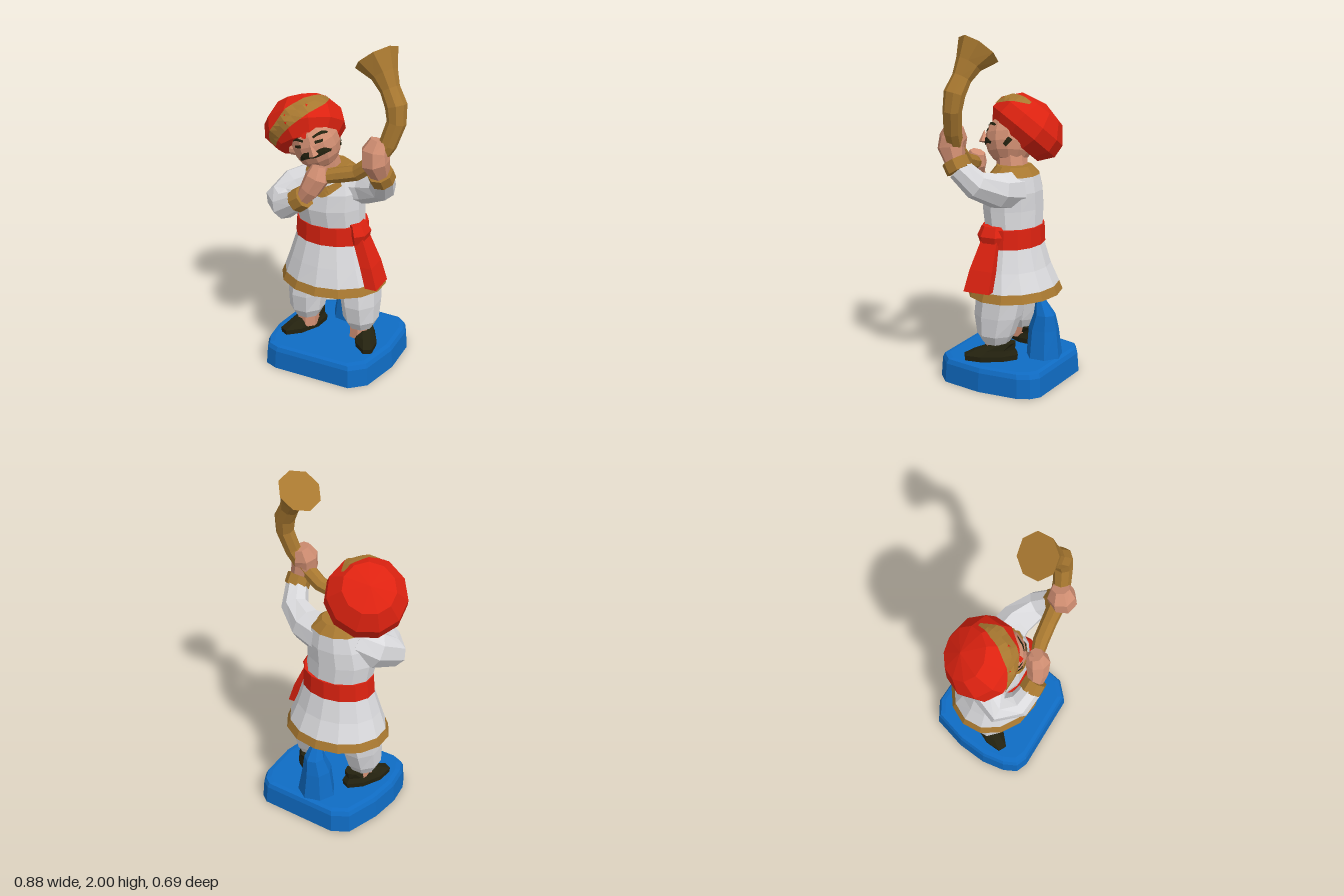
import * as THREE from 'three';

const V = (x, y, z) => new THREE.Vector3(x, y, z);
const UP = V(0, 1, 0);

export function createModel() {
  const root = new THREE.Group();
  root.name = 'hornPlayer';

  const paintOf = (name, color) => {
    const m = new THREE.MeshStandardMaterial({ color });
    m.name = name;
    return m;
  };
  const white = paintOf('white cloth', 0xd9d9dc);
  const red = paintOf('red cloth', 0xdd2210);
  const gold = paintOf('gold', 0xa87830);
  const goldHem = gold.clone();
  goldHem.side = THREE.DoubleSide;
  const skinTone = paintOf('skin', 0xd08e72);
  const black = paintOf('black', 0x24220f);
  const blue = paintOf('blue', 0x0f6cc4);

  const add = (name, geo, mat, parent = root) => {
    const flat = geo.index ? geo.toNonIndexed() : geo;
    flat.computeVertexNormals();
    const mesh = new THREE.Mesh(flat, mat);
    mesh.name = name;
    parent.add(mesh);
    return mesh;
  };

  // Joins rings of points into a faceted body, with end caps
  const skin = (rings, caps = true) => {
    const n = rings[0].length, pos = [], idx = [];
    rings.forEach(r => r.forEach(p => pos.push(p.x, p.y, p.z)));
    for (let j = 0; j < rings.length - 1; j++) {
      for (let i = 0; i < n; i++) {
        const a = j * n + i, b = j * n + (i + 1) % n;
        idx.push(a, a + n, b, b, a + n, b + n);
      }
    }
    if (caps) [0, rings.length - 1].forEach(j => {
      const c = V(0, 0, 0);
      rings[j].forEach(p => c.addScaledVector(p, 1 / n));
      const k = pos.length / 3;
      pos.push(c.x, c.y, c.z);
      for (let i = 0; i < n; i++) {
        const a = j * n + i, b = j * n + (i + 1) % n;
        if (j === 0) idx.push(k, a, b); else idx.push(k, b, a);
      }
    });
    const g = new THREE.BufferGeometry();
    g.setAttribute('position', new THREE.Float32BufferAttribute(pos, 3));
    g.setIndex(idx);
    return g;
  };
  const ellipse = (n, rx, rz) => Array.from({ length: n }, (_, i) => {
    const a = (i + 0.5) / n * Math.PI * 2;
    return V(Math.cos(a) * rx, 0, Math.sin(a) * rz);
  });
  // Upright body from [x, y, z, radius x, radius z] sections, bottom first
  const loft = (sections, n = 10, caps = true) => skin(sections.map(
    ([x, y, z, rx, rz]) => ellipse(n, rx, rz).map(p => p.add(V(x, y, z)))), caps);
  // Bent body from [x, y, z, radius] points along a path
  const limb = (pts, n = 8) => {
    const c = pts.map(p => V(p[0], p[1], p[2]));
    const q = new THREE.Quaternion();
    let last = UP;
    return skin(c.map((p, i) => {
      const t = c[Math.min(i + 1, c.length - 1)].clone().sub(c[Math.max(i - 1, 0)]).normalize();
      q.premultiply(new THREE.Quaternion().setFromUnitVectors(last, t));
      last = t;
      return ellipse(n, pts[i][3], pts[i][3]).map(v => v.applyQuaternion(q).add(p));
    }));
  };
  // Thin painted strip laid on a mesh along a path
  const ray = new THREE.Raycaster();
  const strip = (name, mat, target, pts, widths, aim = () => V(0, 0, -1)) => {
    root.updateMatrixWorld(true);
    const curve = new THREE.CatmullRomCurve3(pts), steps = 16, pos = [], idx = [];
    let rows = 0;
    for (let i = 0; i <= steps; i++) {
      const t = i / steps, p = curve.getPoint(t), f = t * (widths.length - 1);
      const k = Math.min(Math.floor(f), widths.length - 2);
      const w = THREE.MathUtils.lerp(widths[k], widths[k + 1], f - k);
      const side = curve.getTangent(t).cross(aim(p)).normalize();
      const row = [];
      for (const s of [-1, 0, 1]) {
        const o = p.clone().addScaledVector(side, s * w), d = aim(o).normalize();
        ray.set(o, d);
        const hit = ray.intersectObject(target, false)[0];
        if (hit) row.push(hit.point.clone().addScaledVector(d, -0.007));
      }
      if (row.length < 3) continue;
      row.forEach(v => pos.push(v.x, v.y, v.z));
      if (rows++) {
        const b = (rows - 1) * 3, a = b - 3;
        for (const j of [0, 1]) idx.push(a + j, b + j, a + j + 1, a + j + 1, b + j, b + j + 1);
      }
    }
    const g = new THREE.BufferGeometry();
    g.setAttribute('position', new THREE.Float32BufferAttribute(pos, 3));
    g.setIndex(idx);
    return add(name, g, mat);
  };
  const face2D = list => list.map(([x, y]) => V(x, y, 1));

  // Plinth with a bevelled rim, and the rock behind the legs
  const outline = [[0.345, 0.03], [0.29, 0.27], [0.2, 0.345], [-0.28, 0.33], [-0.35, 0.3], [-0.385, 0.22],
    [-0.4, 0.08], [-0.375, -0.1], [-0.305, -0.3], [-0.21, -0.35], [0.26, -0.32], [0.31, -0.28], [0.34, -0.21]];
  add('plinth', skin([[0, 1], [0.11, 0.98], [0.135, 0.95], [0.14, 0.88]].map(
    ([y, s]) => outline.map(([x, z]) => V((x + 0.03) * s - 0.03, y, z * s)))), blue);
  add('rock', loft([[-0.03, 0.13, -0.21, 0.115, 0.105], [-0.03, 0.3, -0.205, 0.085, 0.09],
    [-0.02, 0.39, -0.215, 0.06, 0.065], [-0.02, 0.47, -0.19, 0.03, 0.03]], 7), blue);

  // Shoes, ankles and baggy trousers
  for (const s of [-1, 1]) {
    const side = s > 0 ? 'left' : 'right';
    const shoe = add(side + 'Shoe', loft([[0, 0.135, 0, 0.065, 0.16], [0, 0.17, 0, 0.068, 0.165],
      [0, 0.2, -0.02, 0.055, 0.125], [0, 0.24, -0.085, 0.05, 0.06]], 8), black);
    shoe.position.set(-0.03 + s * 0.2, 0, 0.035);
    shoe.rotation.y = s * 0.5;
    const x = -0.04 + s * 0.17;
    add(side + 'Ankle', loft([[x, 0.17, 0.02, 0.065, 0.075], [x, 0.27, 0.02, 0.065, 0.065]], 7), skinTone);
    add(side + 'Trouser', loft([[x + s * 0.005, 0.235, 0.02, 0.075, 0.075], [x + s * 0.005, 0.29, 0.02, 0.105, 0.11],
      [x, 0.4, 0.01, 0.115, 0.14], [x - s * 0.02, 0.56, -0.01, 0.13, 0.15]], 8), white);
  }

  // Tunic: gold hem, skirt, waistband, chest and collar
  add('hem', loft([[-0.055, 0.5, -0.01, 0.318, 0.265], [-0.055, 0.55, -0.01, 0.298, 0.245]], 14, false), goldHem);
  add('skirt', loft([[-0.055, 0.55, -0.01, 0.298, 0.245], [-0.055, 0.66, 0, 0.257, 0.205],
    [-0.055, 0.81, 0, 0.21, 0.16]], 14), white);
  add('waistband', loft([[-0.055, 0.79, 0, 0.222, 0.172], [-0.055, 0.9, 0, 0.214, 0.168]], 14), red);
  const chest = add('chest', loft([[-0.06, 0.88, 0, 0.2, 0.16], [-0.07, 1.0, 0.01, 0.21, 0.17],
    [-0.06, 1.1, 0.005, 0.2, 0.165], [-0.055, 1.19, -0.005, 0.165, 0.14]], 12), white);
  add('collar', loft([[-0.055, 1.19, -0.005, 0.165, 0.14], [-0.06, 1.24, 0, 0.105, 0.1]], 12), gold);
  add('neck', loft([[-0.08, 1.2, 0.02, 0.09, 0.09], [-0.1, 1.3, 0.04, 0.09, 0.09]], 8), skinTone);
  strip('collarPoint', gold, chest, face2D([[-0.17, 1.17], [-0.05, 1.12], [0.05, 1.17]]), [0.015, 0.03, 0.015]);

  // Sash knot and hanging tail
  add('sashKnot', loft([[0.135, 0.8, 0.045, 0.045, 0.07], [0.14, 0.86, 0.045, 0.055, 0.09],
    [0.12, 0.915, 0.045, 0.045, 0.07]], 6), red);
  add('sashTail', loft([[0.25, 0.56, 0.07, 0.05, 0.112], [0.21, 0.68, 0.06, 0.05, 0.1],
    [0.14, 0.84, 0.045, 0.045, 0.07]], 4), red);

  // Right arm, bent up to the mouth
  add('rightSleeve', limb([[-0.16, 1.12, 0, 0.1], [-0.26, 1.07, 0.05, 0.11], [-0.31, 1.015, 0.15, 0.092],
    [-0.24, 1.03, 0.24, 0.076], [-0.15, 1.09, 0.265, 0.062]]), white);
  add('rightCuff', limb([[-0.155, 1.085, 0.262, 0.068], [-0.1, 1.125, 0.268, 0.066]]), gold);
  add('rightHand', limb([[-0.11, 1.115, 0.267, 0.045], [-0.07, 1.17, 0.26, 0.06], [-0.035, 1.24, 0.24, 0.07],
    [-0.03, 1.3, 0.22, 0.045]], 7), skinTone);

  // Left arm, raised to hold the horn
  add('leftSleeve', limb([[0.03, 1.11, -0.02, 0.115], [0.16, 1.13, 0, 0.1], [0.28, 1.18, 0.07, 0.08],
    [0.315, 1.27, 0.155, 0.066]]), white);
  add('leftCuff', limb([[0.317, 1.26, 0.15, 0.073], [0.312, 1.315, 0.183, 0.073]]), gold);
  add('leftHand', limb([[0.312, 1.3, 0.18, 0.055], [0.295, 1.38, 0.21, 0.08], [0.29, 1.44, 0.2, 0.078],
    [0.305, 1.5, 0.185, 0.05]], 7), skinTone);

  // Curved horn
  add('horn', limb([[-0.01, 1.24, 0.22, 0.035], [0.07, 1.26, 0.2, 0.045], [0.18, 1.29, 0.19, 0.045],
    [0.28, 1.37, 0.19, 0.05], [0.35, 1.48, 0.17, 0.05], [0.388, 1.6, 0.15, 0.053], [0.38, 1.69, 0.14, 0.06],
    [0.335, 1.77, 0.12, 0.055], [0.295, 1.84, 0.1, 0.075], [0.235, 1.915, 0.07, 0.127]]), gold);

  // Head, turned and tilted
  const head = add('head', new THREE.SphereGeometry(1, 12, 9), skinTone);
  head.scale.set(0.137, 0.155, 0.145);
  head.position.set(-0.13, 1.37, 0.06);
  head.rotation.set(0, 0.35, 0.35, 'YXZ');
  const nose = add('nose', new THREE.ConeGeometry(0.03, 0.07, 5), skinTone);
  nose.position.set(-0.083, 1.385, 0.205);
  nose.rotation.set(0, 0.35, 0.35, 'YXZ');
  const ear = add('ear', new THREE.SphereGeometry(0.035, 6, 5), skinTone);
  ear.position.set(-0.245, 1.32, 0.1);

  // Turban, leaning back and to the right, with a gold band
  const turban = add('turban', new THREE.LatheGeometry([[0, -0.11], [0.17, -0.11], [0.232, -0.03], [0.225, 0.05],
    [0.15, 0.14], [0, 0.175]].map(p => new THREE.Vector2(...p)), 11), red);
  const mid = V(-0.225, 1.425, 0);
  turban.position.copy(mid);
  turban.quaternion.setFromUnitVectors(UP, V(-0.4, 0.75, -0.5).normalize());
  strip('turbanBand', gold, turban, [[-0.37, 1.34, 0.17], [-0.29, 1.46, 0.2], [-0.2, 1.55, 0.13],
    [-0.13, 1.6, 0.03], [-0.11, 1.6, -0.08]].map(p => V(...p).sub(mid).multiplyScalar(2.5).add(mid)),
  [0.07, 0.08, 0.11, 0.11, 0.03], p => mid.clone().sub(p).normalize());

  // Painted face
  const features = [
    ['moustache', black, [[-0.165, 1.295], [-0.125, 1.335], [-0.07, 1.35], [-0.03, 1.37], [-0.005, 1.365]],
      [0.006, 0.02, 0.018, 0.02, 0.006]],
    ['rightBrow', black, [[-0.215, 1.4], [-0.185, 1.42], [-0.14, 1.42]], [0.003, 0.008, 0.006]],
    ['leftBrow', black, [[-0.09, 1.445], [-0.06, 1.465], [-0.03, 1.46]], [0.006, 0.008, 0.003]],
    ['rightEye', black, [[-0.195, 1.375], [-0.15, 1.39]], [0.007, 0.009]],
    ['leftEye', black, [[-0.075, 1.42], [-0.04, 1.43]], [0.009, 0.007]],
    ['foreheadMark', red, [[-0.138, 1.435], [-0.142, 1.465]], [0.014, 0.014]],
  ];
  features.forEach(([name, mat, pts, w]) => strip(name, mat, head, face2D(pts), w));
  strip('leftSideburn', black, head, [V(1, 1.4, 0), V(1, 1.36, 0.03)], [0.015, 0.012], () => V(-1, 0, 0));

  return root;
}
